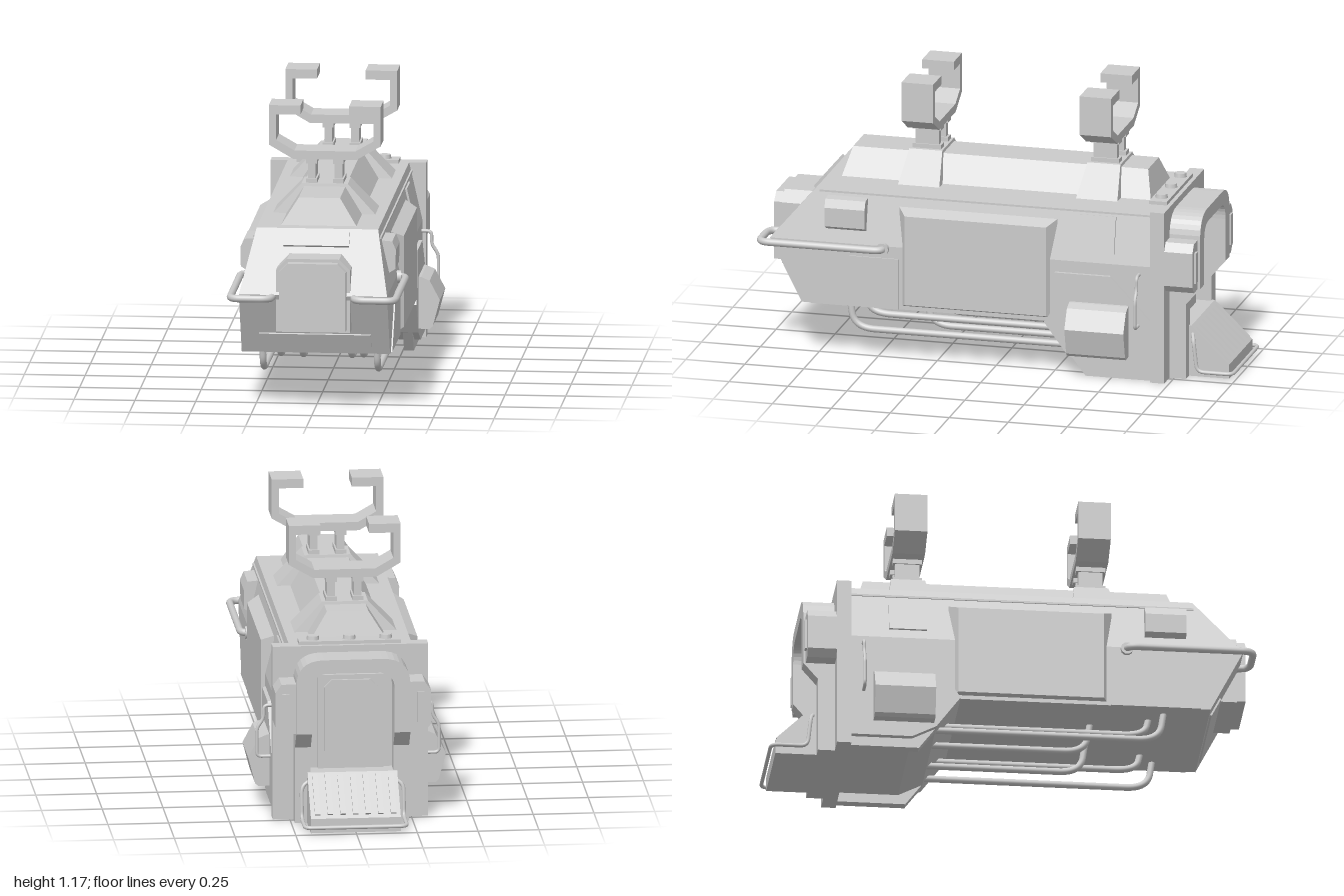
import * as THREE from 'three';

const material = new THREE.MeshStandardMaterial({ color: 0xcccccc });

export function createModel() {
  const root = new THREE.Group();

  const add = (name, geometry, x = 0, y = 0, z = 0) => {
    const mesh = new THREE.Mesh(geometry, material);
    mesh.name = name;
    mesh.position.set(x, y, z);
    root.add(mesh);
    return mesh;
  };
  const box = (name, w, h, d, x, y, z) => add(name, new THREE.BoxGeometry(w, h, d), x, y, z);
  const toShape = (pts) => new THREE.Shape(pts.map(([a, b]) => new THREE.Vector2(a, b)));

  // front outline of (x, y) points, running from z0 to z1
  const alongZ = (shape, z0, z1) =>
    new THREE.ExtrudeGeometry(Array.isArray(shape) ? toShape(shape) : shape,
      { depth: z1 - z0, bevelEnabled: false, curveSegments: 8 }).translate(0, 0, z0);

  // side outline of (z, y) points, running across x around a centre
  const alongX = (pts, width, x = 0) =>
    new THREE.ExtrudeGeometry(toShape(pts), { depth: width, bevelEnabled: false })
      .translate(0, 0, -width / 2).rotateY(-Math.PI / 2).translate(x, 0, 0);

  // reshape by a rule on each vertex, then refresh the flat normals
  const reshape = (geometry, rule) => {
    const p = geometry.attributes.position;
    const v = new THREE.Vector3();
    for (let i = 0; i < p.count; i++) {
      rule(v.fromBufferAttribute(p, i));
      p.setXYZ(i, v.x, v.y, v.z);
    }
    geometry.computeVertexNormals();
    return geometry;
  };

  // box whose top is smaller than its base
  const frustum = (w, d, topW, topD, h) =>
    reshape(new THREE.BoxGeometry(w, h, d).toNonIndexed(), (v) => {
      if (v.y > 0) { v.x *= topW / w; v.z *= topD / d; }
    }).translate(0, h / 2, 0);

  // pipe through points with rounded corners
  const pipe = (name, pts, r, bend) => {
    const p = pts.map((a) => new THREE.Vector3(...a));
    const path = new THREE.CurvePath();
    let from = p[0];
    for (let i = 1; i < p.length - 1; i++) {
      const toward = (q) => p[i].clone().add(q.clone().sub(p[i])
        .setLength(Math.min(bend, q.distanceTo(p[i]) * 0.49)));
      const a = toward(p[i - 1]), b = toward(p[i + 1]);
      path.add(new THREE.LineCurve3(from, a));
      path.add(new THREE.QuadraticBezierCurve3(a, p[i], b));
      from = b;
    }
    path.add(new THREE.LineCurve3(from, p[p.length - 1]));
    return add(name, new THREE.TubeGeometry(path, 90, r, 10));
  };

  // hull: straight lower half, upper half leaning inwards
  add('lowerHull', alongX([[0.945, 0.5], [0.81, 0.235], [-0.22, 0.235], [-0.32, 0.1],
    [-0.42, 0.05], [-0.71, 0.05], [-0.71, 0.5]], 0.61));
  add('upperHull', reshape(alongX([[0.945, 0.5], [0.74, 0.74], [-0.71, 0.74], [-0.71, 0.5]], 0.61),
    (v) => { if (v.y > 0.6) v.x *= 0.25 / 0.305; }));
  add('rearLowerHull', alongX([[-0.265, 0.45], [-0.5, 0.45], [-0.69, 0.25], [-0.69, 0.05],
    [-0.42, 0.05], [-0.32, 0.1], [-0.22, 0.235], [-0.265, 0.3]], 0.64));
  box('rearFlange', 0.64, 0.73, 0.06, 0, 0.375, -0.7);

  // roof ridge with end slopes
  add('roofRidge', frustum(0.31, 1.31, 0.17, 1.25, 0.11), 0, 0.74, 0.025);

  // hook assemblies on the roof
  const hookOutline = [[-0.23, 1.185], [-0.1, 1.185], [-0.1, 1.147], [-0.2, 1.147], [-0.2, 1.04],
    [-0.125, 0.997], [0.125, 0.997], [0.2, 1.04], [0.2, 1.147], [0.1, 1.147], [0.1, 1.185],
    [0.23, 1.185], [0.23, 1.02], [0.13, 0.962], [-0.13, 0.962], [-0.23, 1.02]];
  for (const z of [0.34, -0.415]) {
    add('hookCollar', frustum(0.42, 0.175, 0.19, 0.14, 0.122), 0, 0.74, z);
    add('hook', alongZ(hookOutline, z - 0.067, z + 0.067));
    for (const x of [-0.055, 0.055]) {
      box('hookPost', 0.032, 0.1, 0.1, x, 0.91, z);
      for (const y of [0.87, 0.952]) box('postCollar', 0.045, 0.02, 0.12, x, y, z);
    }
  }

  // rear roof plate with studs
  box('studPlate', 0.42, 0.015, 0.075, 0, 0.747, -0.675);
  for (const x of [-0.15, 0, 0.15])
    add('stud', new THREE.CylinderGeometry(0.024, 0.027, 0.018, 8), x, 0.762, -0.675);

  // nose: window block, hood plate and chin grille
  const windowOutline = (w, y0, y1, c) =>
    [[-w, y0], [w, y0], [w, y1 - c], [w - c, y1], [-w + c, y1], [-w, y1 - c]];
  add('windowFrame', alongZ(windowOutline(0.152, 0.345, 0.65, 0.045), 0.79, 0.935));
  add('frontWindow', alongZ(windowOutline(0.137, 0.357, 0.637, 0.035), 0.9, 0.972));
  box('hoodPlate', 0.27, 0.02, 0.08, 0, 0.705, 0.771).rotation.x = 0.864;
  box('chinGrille', 0.46, 0.088, 0.014, 0, 0.285, 0.836).rotation.x = 0.47;

  for (const s of [1, -1]) {
    const mirror = (pts) => pts.map(([x, ...rest]) => [s * x, ...rest]);

    // raised side panel with a sloping border
    const panel = frustum(0.43, 0.67, 0.38, 0.6, 0.05)
      .rotateZ(-s * Math.PI / 2).translate(s * 0.272, 0.45, 0.07);
    add('sidePanel', panel);
    add('frontSidePlate', alongX([[0.4, 0.235], [0.77, 0.235], [0.61, 0.45], [0.4, 0.45]],
      0.012, s * 0.305));
    box('gutter', 0.012, 0.008, 1.43, s * 0.258, 0.705, 0.03);

    // rear side window on the leaning wall
    box('sideWindow', 0.016, 0.155, 0.155, s * 0.279, 0.615, -0.435).rotation.z = s * 0.225;

    // shoulder pod near the nose
    add('shoulderPod', alongZ(mirror([[0.25, 0.69], [0.305, 0.685], [0.32, 0.65], [0.318, 0.57],
      [0.285, 0.55], [0.25, 0.55]]), 0.54, 0.71));

    // rear lower pod
    add('lowerPod', alongZ(mirror([[0.3, 0.335], [0.33, 0.33], [0.365, 0.315], [0.407, 0.235],
      [0.378, 0.125], [0.365, 0.112], [0.3, 0.115]]), -0.58, -0.33));

    // skid under the rear
    add('skid', alongX([[-0.22, 0.235], [-0.39, 0.01], [-0.73, 0.01], [-0.73, 0.06],
      [-0.48, 0.06], [-0.4, 0.235]], 0.04, s * 0.275));

    // bumper pipe and its wall flange
    pipe('bumperPipe', mirror([[0.29, 0.49, 0.465], [0.34, 0.49, 0.465], [0.34, 0.49, 0.985],
      [0.175, 0.49, 0.985], [0.165, 0.49, 0.92]]), 0.015, 0.045);
    add('pipeFlange', new THREE.CylinderGeometry(0.026, 0.026, 0.02, 10).rotateZ(Math.PI / 2),
      s * 0.312, 0.49, 0.465);

    // grab rail beside the rear
    pipe('grabRail', mirror([[0.3, 0.465, -0.62], [0.347, 0.465, -0.62], [0.347, 0.41, -0.62],
      [0.375, 0.37, -0.62], [0.375, 0.25, -0.62], [0.3, 0.25, -0.62]]), 0.007, 0.02);

    // belly pipes
    for (const [x, y, z] of [[0.235, 0.12, 0.625], [0.17, 0.168, 0.57], [0.1, 0.115, 0.335]])
      pipe('bellyPipe', [[s * x, 0.25, z], [s * x, y, z - 0.02], [s * x, y, -0.36]], 0.014, 0.09);

    // doorway leg and side lamp
    add('doorwayLeg', alongX([[-0.72, 0.01], [-0.8, 0.01], [-0.8, 0.33], [-0.86, 0.4],
      [-0.72, 0.4]], 0.065, s * 0.2025));
    add('sideLamp', alongZ(mirror([[0.23, 0.61], [0.295, 0.61], [0.32, 0.575], [0.32, 0.43],
      [0.295, 0.4], [0.23, 0.4]]), -0.85, -0.72));
    box('lampLens', 0.03, 0.13, 0.012, s * 0.278, 0.505, -0.853);
  }

  // doorway arch with rounded shoulders
  const arch = new THREE.Shape();
  arch.moveTo(-0.235, 0.4).lineTo(-0.235, 0.6).quadraticCurveTo(-0.235, 0.712, -0.12, 0.712)
    .lineTo(0.12, 0.712).quadraticCurveTo(0.235, 0.712, 0.235, 0.6).lineTo(0.235, 0.4)
    .lineTo(0.17, 0.4).lineTo(0.17, 0.58).quadraticCurveTo(0.17, 0.655, 0.1, 0.655)
    .lineTo(-0.1, 0.655).quadraticCurveTo(-0.17, 0.655, -0.17, 0.58).lineTo(-0.17, 0.4);
  add('doorwayArch', alongZ(arch, -0.86, -0.72));
  box('rearDoor', 0.27, 0.56, 0.02, 0, 0.34, -0.735);
  add('doorWindow', alongZ(windowOutline(0.11, 0.3, 0.6, 0.03), -0.755, -0.74));

  // ribbed boarding ramp with a hoop rail
  add('ramp', alongX([[-0.73, 0.01], [-0.97, 0.01], [-0.97, 0.07], [-0.81, 0.225],
    [-0.73, 0.225]], 0.37));
  for (let i = 0; i < 7; i++)
    box('rampRib', 0.022, 0.012, 0.19, (i - 3) * 0.052, 0.15, -0.892).rotation.x = -0.77;
  pipe('rampHoop', [[-0.18, 0.19, -0.815], [-0.21, 0.17, -0.825], [-0.21, 0.037, -0.84],
    [-0.21, 0.037, -0.99], [0.21, 0.037, -0.99], [0.21, 0.037, -0.84], [0.21, 0.17, -0.825],
    [0.18, 0.19, -0.815]], 0.008, 0.03);

  return root;
}
